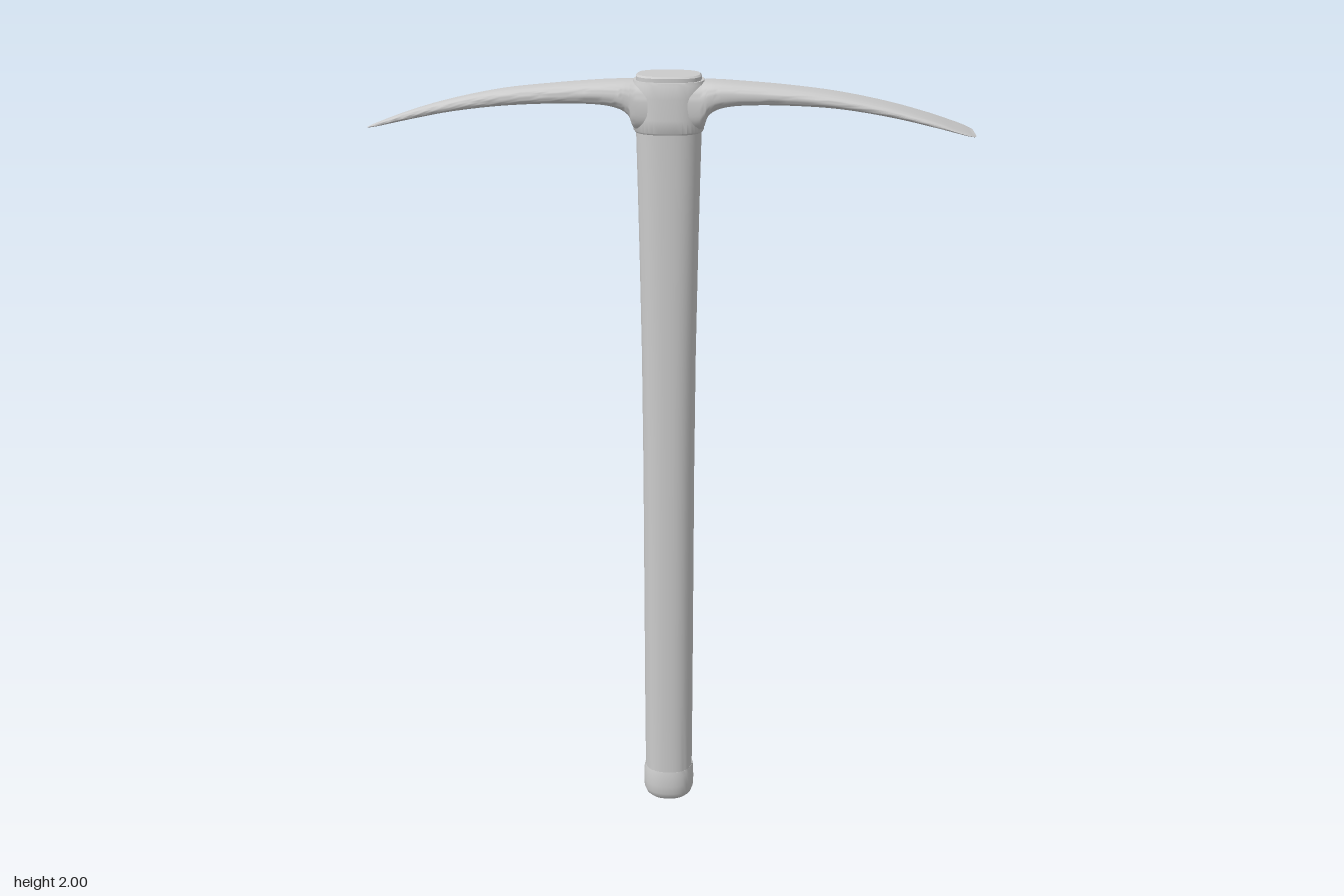
import * as THREE from 'three';
import { toCreasedNormals } from 'three/addons/utils/BufferGeometryUtils.js';

const SEG = 40;

// Skin rounded-rectangle rings. Each ring: { center, u, v, a, b, n };
// u x v must point along the sweep. End rings close to a point.
function loft(rings, crease = 0.7) {
  const pos = [], index = [];
  for (const { center, u, v, a, b, n } of rings) {
    for (let i = 0; i < SEG; i++) {
      const t = (i / SEG) * Math.PI * 2, c = Math.cos(t), s = Math.sin(t);
      const p = center.clone()
        .addScaledVector(u, a * Math.sign(c) * Math.abs(c) ** (2 / n))
        .addScaledVector(v, b * Math.sign(s) * Math.abs(s) ** (2 / n));
      pos.push(p.x, p.y, p.z);
    }
  }
  const last = rings.length - 1;
  for (let j = 0; j < last; j++) {
    for (let i = 0; i < SEG; i++) {
      const k = (i + 1) % SEG;
      const a = j * SEG + i, b = j * SEG + k, c = b + SEG, d = a + SEG;
      if (j > 0) index.push(a, b, d);
      if (j < last - 1 || rings[last].a > 0) index.push(b, c, d);
      else if (j === 0) index.push(a, b, d);
    }
  }
  const g = new THREE.BufferGeometry();
  g.setAttribute('position', new THREE.Float32BufferAttribute(pos, 3));
  g.setIndex(index);
  return toCreasedNormals(g, crease);
}

const X = new THREE.Vector3(1, 0, 0), Y = new THREE.Vector3(0, 1, 0), Z = new THREE.Vector3(0, 0, 1);

// Upright loft from rows [y, halfX, halfZ], capped flat at both ends
function upright(rows, n) {
  const first = rows[0], end = rows[rows.length - 1];
  return loft([[first[0], 0, 0], ...rows, [end[0], 0, 0]].map(([y, hx, hz]) => (
    { center: new THREE.Vector3(0, y, 0), u: Z, v: X, a: hz, b: hx, n })));
}

// Sideways loft from rows [x, top, bottom, halfZ], smoothed between rows
function arm(rows, n) {
  const edge = new THREE.CatmullRomCurve3(rows.map(r => new THREE.Vector3(r[0], r[1], r[2])), false, 'catmullrom', 0.5);
  const width = new THREE.CatmullRomCurve3(rows.map(r => new THREE.Vector3(r[0], r[3], 0)), false, 'catmullrom', 0.5);
  const rings = [], steps = (rows.length - 1) * 5;
  for (let i = 0; i <= steps; i++) {
    const e = edge.getPoint(i / steps), w = width.getPoint(i / steps);
    rings.push({ center: new THREE.Vector3(e.x, (e.y + e.z) / 2, 0), u: Y, v: Z, a: Math.max((e.y - e.z) / 2, 0.0005), b: Math.max(w.y, 0.0005), n });
  }
  const close = r => ({ ...r, a: 0, b: 0 });
  return loft([close(rings[0]), ...rings, close(rings[steps])], 0.8);
}

export function createModel() {
  const model = new THREE.Group();
  const material = new THREE.MeshStandardMaterial({ color: 0xcccccc });
  const add = (name, geometry) => {
    const mesh = new THREE.Mesh(geometry, material);
    mesh.name = name;
    model.add(mesh);
  };

  // Handle: oval shaft that widens sideways toward the head
  add('handle', upright([
    [0.06, 0.064, 0.059], [0.3, 0.065, 0.06], [1.0, 0.066, 0.06], [1.3, 0.068, 0.06],
    [1.55, 0.072, 0.06], [1.75, 0.076, 0.06], [1.88, 0.079, 0.06],
  ], 2.4));

  // Swollen, rounded foot of the handle
  add('handleButt', upright([
    [0, 0.046, 0.042], [0.004, 0.055, 0.051], [0.012, 0.063, 0.058], [0.026, 0.068, 0.063],
    [0.05, 0.069, 0.064], [0.08, 0.068, 0.063], [0.095, 0.065, 0.06],
  ], 2.3));

  // Collar around the eye of the head
  add('collar', upright([
    [1.866, 0.081, 0.067], [1.87, 0.084, 0.07], [1.9, 0.085, 0.069], [1.95, 0.086, 0.067],
    [1.98, 0.087, 0.065], [1.987, 0.084, 0.062],
  ], 2.6));

  // Handle end showing through the eye
  add('handleEnd', upright([
    [1.96, 0.078, 0.057], [1.996, 0.078, 0.057], [2, 0.074, 0.053],
  ], 2.7));

  // Pointed arm, on the model's right
  add('pick', arm([
    [-0.728, 1.867, 1.865, 0.002], [-0.70, 1.879, 1.870, 0.011], [-0.62, 1.908, 1.888, 0.022],
    [-0.52, 1.936, 1.908, 0.032], [-0.4, 1.96, 1.923, 0.041], [-0.28, 1.973, 1.930, 0.049],
    [-0.18, 1.981, 1.930, 0.056], [-0.125, 1.984, 1.922, 0.060], [-0.095, 1.985, 1.904, 0.061],
    [-0.075, 1.985, 1.869, 0.062], [0, 1.985, 1.869, 0.062],
  ], 2.8));

  // Flat flared arm, on the model's left
  add('adze', arm([
    [0, 1.985, 1.869, 0.062], [0.075, 1.985, 1.869, 0.062], [0.095, 1.985, 1.904, 0.061],
    [0.125, 1.984, 1.922, 0.061], [0.18, 1.980, 1.930, 0.061], [0.28, 1.972, 1.931, 0.060],
    [0.4, 1.957, 1.925, 0.061], [0.52, 1.933, 1.908, 0.065], [0.62, 1.905, 1.888, 0.071],
    [0.68, 1.884, 1.875, 0.073], [0.705, 1.875, 1.869, 0.069], [0.72, 1.869, 1.866, 0.059],
    [0.727, 1.867, 1.865, 0.043],
  ], 2.8));

  return model;
}
